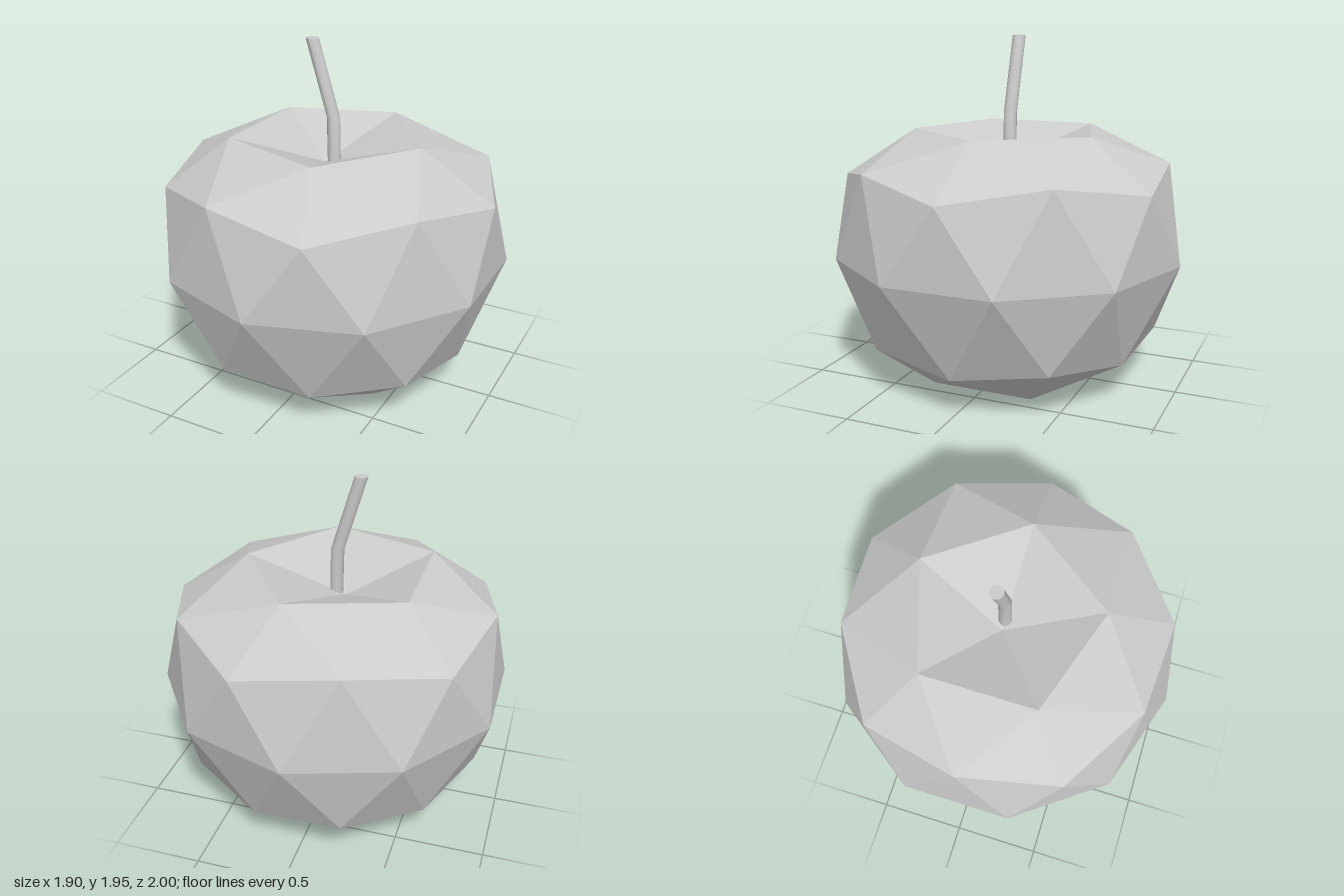
import * as THREE from 'three';

// Ring of n points; even and odd points may differ in radius and height
function ring(n, startDeg, even, odd = even, cx = 0) {
  return Array.from({ length: n }, (_, i) => {
    const [r, y] = i % 2 && n === 10 ? odd : even;
    const a = THREE.MathUtils.degToRad(startDeg + (360 / n) * i);
    return [cx + r * Math.cos(a), y, -r * Math.sin(a)];
  });
}

// Faceted fruit: a once-divided icosahedron with both poles pushed in
function fruitGeometry() {
  const topPole = [-0.06, 1.25, 0];
  const rim = ring(5, 0, [0.557, 1.424], undefined, -0.032);
  const shoulder = ring(10, 0, [0.95, 1.16], [0.905, 1.245]);
  const belly = ring(10, 18, [1, 0.725]);
  const lower = ring(10, 0, [0.8, 0.215], [0.85, 0.27]);
  const base = ring(5, 36, [0.497, 0]);
  const bottomPole = [0, 0.12, 0];

  const positions = [];
  const tri = (a, b, c) => positions.push(...a, ...b, ...c);
  const at = (list, i) => list[(i + list.length) % list.length];

  for (let i = 0; i < 5; i++) {
    const a = rim[i], b = at(rim, i + 1);
    const s = (k) => at(shoulder, 2 * i + k);
    // top hollow and shoulder
    tri(topPole, a, b);
    tri(a, s(-1), s(0));
    tri(a, s(0), s(1));
    tri(a, s(1), b);
    // underside and bottom hollow
    const e = base[i], f = at(base, i + 1);
    const l = (k) => at(lower, 2 * i + k);
    tri(e, l(1), l(0));
    tri(e, l(2), l(1));
    tri(e, f, l(2));
    tri(bottomPole, f, e);
  }
  // two bands of side triangles
  for (let k = 0; k < 10; k++) {
    const c = belly[k], prev = at(belly, k - 1);
    tri(shoulder[k], c, at(shoulder, k + 1));
    tri(shoulder[k], prev, c);
    tri(prev, lower[k], c);
    tri(c, lower[k], at(lower, k + 1));
  }
  const g = new THREE.BufferGeometry();
  g.setAttribute('position', new THREE.Float32BufferAttribute(positions, 3));
  g.computeVertexNormals();
  return g;
}

// Bent stem: a cylinder whose three levels are shifted sideways
function stemGeometry() {
  const g = new THREE.CylinderGeometry(0.037, 0.037, 2, 16, 2);
  const levels = [[0, 1.23], [-0.006, 1.52], [-0.136, 1.95]];
  const p = g.attributes.position;
  for (let i = 0; i < p.count; i++) {
    const [dx, y] = levels[Math.round(p.getY(i)) + 1];
    p.setXYZ(i, p.getX(i) + dx, y, p.getZ(i));
  }
  g.computeVertexNormals();
  return g;
}

export function createModel() {
  const group = new THREE.Group();
  group.name = 'apple';

  const fruit = new THREE.Mesh(
    fruitGeometry(),
    new THREE.MeshStandardMaterial({ color: 0xcccccc, flatShading: true })
  );
  fruit.name = 'fruit';

  const stem = new THREE.Mesh(
    stemGeometry(),
    new THREE.MeshStandardMaterial({ color: 0xcccccc })
  );
  stem.name = 'stem';

  group.add(fruit, stem);
  return group;
}
